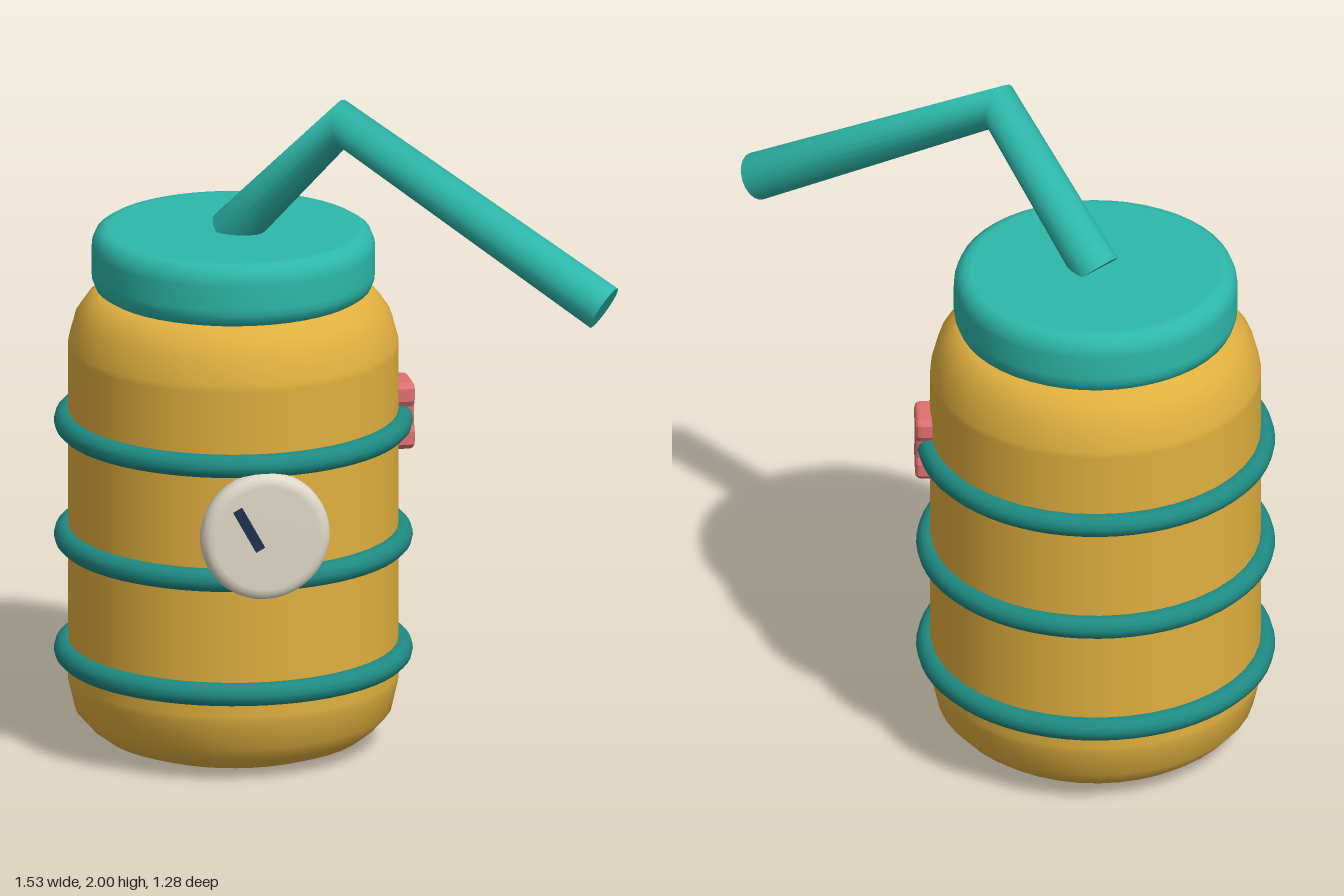
import * as THREE from 'three';

const CX = -0.25, CZ = -0.12; // jar axis
const material = (name, color) => {
  const m = new THREE.MeshStandardMaterial({ color });
  m.name = name;
  return m;
};

// straight-legged path with one sharp bend halfway along its parameter
class BentPath extends THREE.Curve {
  constructor(a, b, c) {
    super();
    Object.assign(this, { a, b, c });
    this.d1 = b.clone().sub(a).normalize();
    this.d2 = c.clone().sub(b).normalize();
  }
  getPoint(t, target = new THREE.Vector3()) {
    return t < 0.5 ? target.lerpVectors(this.a, this.b, t * 2) : target.lerpVectors(this.b, this.c, t * 2 - 1);
  }
  getPointAt(u, target) { return this.getPoint(u, target); }
  getTangentAt(u, target = new THREE.Vector3()) {
    if (u === 0.5) return target.copy(this.d1).add(this.d2).normalize();
    return target.copy(u < 0.5 ? this.d1 : this.d2);
  }
}

export function createModel() {
  const group = new THREE.Group();
  const amber = material('amber', 0xe0b040);
  const teal = material('teal', 0x2eb8aa);
  const darkTeal = material('dark teal', 0x1f8a82);
  const coral = material('coral', 0xdf7070);
  const cream = material('cream', 0xdfd8c8);
  const navy = material('navy', 0x22304f);

  const add = (name, geometry, mat, x = 0, y = 0, z = 0) => {
    const mesh = new THREE.Mesh(geometry, mat);
    mesh.name = name;
    mesh.position.set(x, y, z);
    group.add(mesh);
    return mesh;
  };
  const lathe = (points, segments) =>
    new THREE.LatheGeometry(points.map(([r, y]) => new THREE.Vector2(r, y)), segments);

  // jar body
  add('body', lathe([
    [0, 0], [0.27, 0], [0.31, 0.005], [0.38, 0.03], [0.42, 0.06], [0.46, 0.105], [0.48, 0.19], [0.48, 0.21],
    [0.48, 1.19], [0.48, 1.21], [0.46, 1.285], [0.43, 1.33], [0.395, 1.36], [0.3, 1.38], [0, 1.38],
  ], 40), amber, CX, 0, CZ);

  // rounded lid
  add('lid', lathe([
    [0, 1.36], [0.36, 1.36], [0.38, 1.362], [0.4, 1.375], [0.41, 1.4], [0.412, 1.42],
    [0.412, 1.49], [0.41, 1.51], [0.4, 1.535], [0.38, 1.548], [0.36, 1.55], [0, 1.55],
  ], 48), teal, CX, 0, CZ);

  // hoops round the body
  for (const y of [0.28, 0.625, 0.97]) {
    const hoop = add('hoop', new THREE.TorusGeometry(0.486, 0.035, 12, 64), darkTeal, CX, y, CZ);
    hoop.rotation.x = Math.PI / 2;
  }

  // bent straw with closed ends
  const R = 0.07;
  const path = new BentPath(
    new THREE.Vector3(-0.253, 1.54, -0.12),
    new THREE.Vector3(0.022, 1.93, 0.16),
    new THREE.Vector3(0.716, 1.455, 0.573));
  add('straw', new THREE.TubeGeometry(path, 2, R, 20, false), teal);
  const forward = new THREE.Vector3(0, 0, 1);
  for (const [point, normal] of [[path.a, path.d1.clone().negate()], [path.c, path.d2]]) {
    const cap = add('strawEnd', new THREE.CircleGeometry(R, 20), teal, point.x, point.y, point.z);
    cap.quaternion.setFromUnitVectors(forward, normal);
  }

  // round dial on the front
  const dial = add('dial', lathe([
    [0, 0], [0.16, 0], [0.18, 0.006], [0.19, 0.025], [0.19, 0.045], [0.184, 0.062], [0.17, 0.071], [0.155, 0.073], [0, 0.073],
  ], 40), cream, CX, 0.765, 0.35);
  dial.rotation.x = Math.PI / 2;

  // dial pointer
  const pointer = add('pointer', new THREE.BoxGeometry(0.03, 0.135, 0.022), navy, -0.305, 0.797, 0.432);
  pointer.rotation.z = 0.5;

  // waisted clip on the side, holding the top hoop
  const half = [[0.045, -0.085], [0.052, -0.078], [0.052, -0.05], [0.042, -0.032], [0.042, 0.032],
    [0.052, 0.05], [0.052, 0.078], [0.045, 0.085]];
  const outline = [...half, ...half.map(([x, y]) => [-x, -y])];
  const clip = add('clip', new THREE.ExtrudeGeometry(
    new THREE.Shape(outline.map(([x, y]) => new THREE.Vector2(x, y))),
    { depth: 0.05, bevelThickness: 0.015, bevelSize: 0.015, bevelSegments: 3 }), coral, 0.21, 0.97, -0.115);
  clip.rotation.y = Math.PI / 2;

  return group;
}
